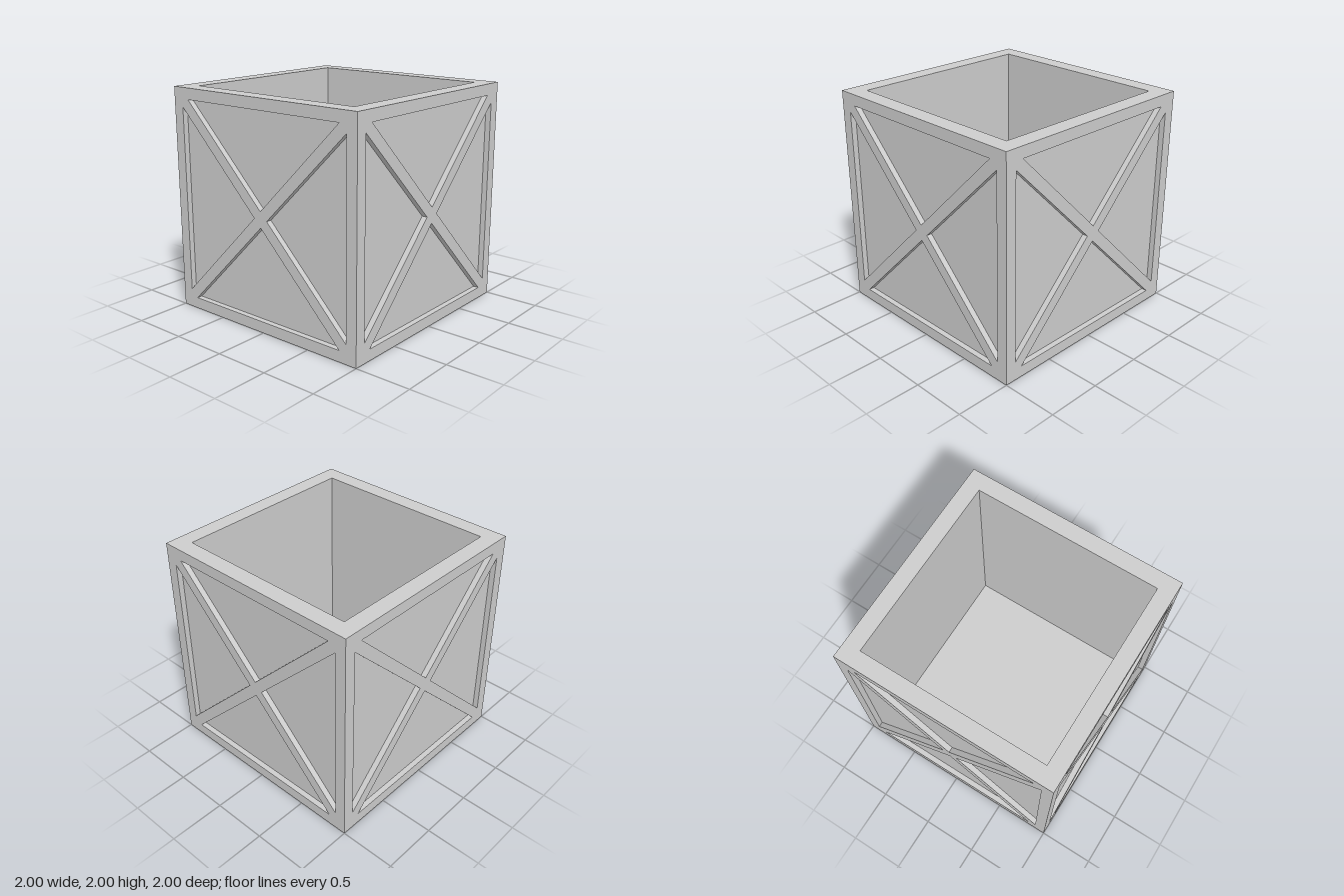
import * as THREE from 'three';

const DEPTH = 0.05;   // recess of the panels behind the braces
const INNER = 0.85;   // half width of the opening
const FLOOR = 0.15;   // floor thickness

function rectangle(PathType, hw, hh) {
  return new PathType([[-hw, -hh], [hw, -hh], [hw, hh], [-hw, hh]].map(([x, y]) => new THREE.Vector2(x, y)));
}

// Square frame with a diagonal cross: four triangular openings
function bracedFrame(halfWidth) {
  const shape = rectangle(THREE.Shape, halfWidth, 1);
  for (let i = 0; i < 4; i++) {
    const points = [[0, 0.07], [0.83, 0.9], [-0.83, 0.9]].map(([x, y]) =>
      new THREE.Vector2(x, y).rotateAround(new THREE.Vector2(), i * Math.PI / 2));
    shape.holes.push(new THREE.Path(points));
  }
  return new THREE.ExtrudeGeometry(shape, { depth: DEPTH, bevelEnabled: false });
}

export function createModel() {
  const grey = new THREE.MeshStandardMaterial({ color: 0xcccccc });
  grey.name = 'lightGrey';
  const crate = new THREE.Group();
  crate.name = 'openCrate';

  const add = (name, geometry) => {
    const mesh = new THREE.Mesh(geometry, grey);
    mesh.name = name;
    crate.add(mesh);
    return mesh;
  };

  // Four walls as one hollow square tube, with the recessed panels as its outside
  const outer = 1 - DEPTH;
  const ring = rectangle(THREE.Shape, outer, outer);
  ring.holes.push(rectangle(THREE.Path, INNER, INNER));
  const walls = new THREE.ExtrudeGeometry(ring, { depth: 2, bevelEnabled: false });
  walls.rotateX(-Math.PI / 2);
  add('walls', walls);

  // Floor
  add('floor', new THREE.BoxGeometry(INNER * 2, FLOOR, INNER * 2)).position.y = FLOOR / 2;

  // Braced frames; the side ones fit between the front and back ones
  ['front', 'left', 'back', 'right'].forEach((side, i) => {
    const frame = bracedFrame(i % 2 ? outer : 1);
    frame.translate(0, 1, outer);
    frame.rotateY(i * Math.PI / 2);
    add(side + 'BracedFrame', frame);
  });

  return crate;
}
